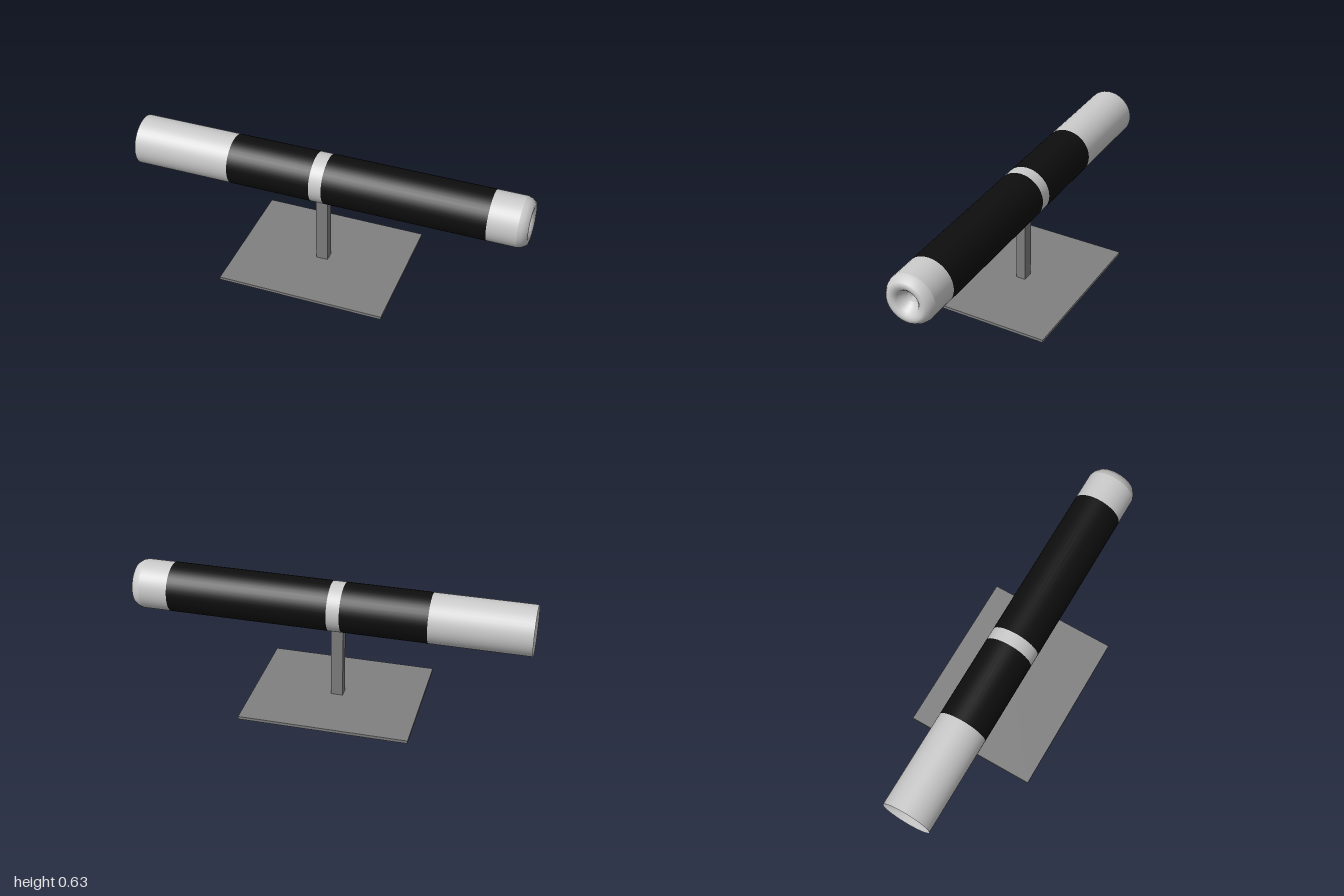
import * as THREE from 'three';

const R = 0.125, AXIS_Y = 0.51, SIDES = 40;

export function createModel() {
  const model = new THREE.Group();
  const grey = new THREE.MeshStandardMaterial({ color: 0xcccccc });
  const black = new THREE.MeshStandardMaterial({ color: 0x0e0e0e });
  const dark = new THREE.MeshStandardMaterial({ color: 0x808080 });

  // Turned part along x; profile is a list of [x, radius] from -x to +x
  const turned = (name, profile, material, parent) => {
    const points = profile.map(([x, r]) => new THREE.Vector2(r, x));
    const mesh = new THREE.Mesh(new THREE.LatheGeometry(points, SIDES).rotateZ(-Math.PI / 2), material);
    mesh.name = name;
    parent.add(mesh);
  };
  const box = (name, [x0, x1], [y0, y1], depth, parent) => {
    const mesh = new THREE.Mesh(new THREE.BoxGeometry(x1 - x0, y1 - y0, depth), dark);
    mesh.position.set((x0 + x1) / 2, (y0 + y1) / 2, 0);
    mesh.name = name;
    parent.add(mesh);
  };

  // Handle: five bands of equal radius
  const handle = new THREE.Group();
  handle.name = 'handle';
  handle.position.y = AXIS_Y;
  model.add(handle);
  turned('rearSleeve', [[-1, R], [-0.5, R]], grey, handle);
  turned('rearGrip', [[-0.5, R], [-0.07, R]], black, handle);
  turned('middleRing', [[-0.07, R], [-0.005, R]], grey, handle);
  turned('frontGrip', [[-0.005, R], [0.81, R]], black, handle);
  turned('noseSleeve', [[0.81, R], [0.955, R]], grey, handle);

  // Hollow conical rear end
  turned('rearCone', [[-0.95, 0], [-1, R]], grey, handle);

  // Rounded nose with a dimple and a small conical centre
  turned('nose', [[0.955, R], [0.975, 0.119], [0.997, 0.104], [1, 0.088], [0.998, 0.072],
    [0.985, 0.057], [0.96, 0.045], [0.945, 0.025]], grey, handle);
  turned('noseCentre', [[0.945, 0.025], [0.935, 0]], grey, handle);

  // Stand
  const stand = new THREE.Group();
  stand.name = 'stand';
  model.add(stand);
  box('post', [-0.068, -0.007], [0.015, 0.39], 0.05, stand);
  box('basePlate', [-0.465, 0.385], [0, 0.015], 0.68, stand);

  return model;
}
